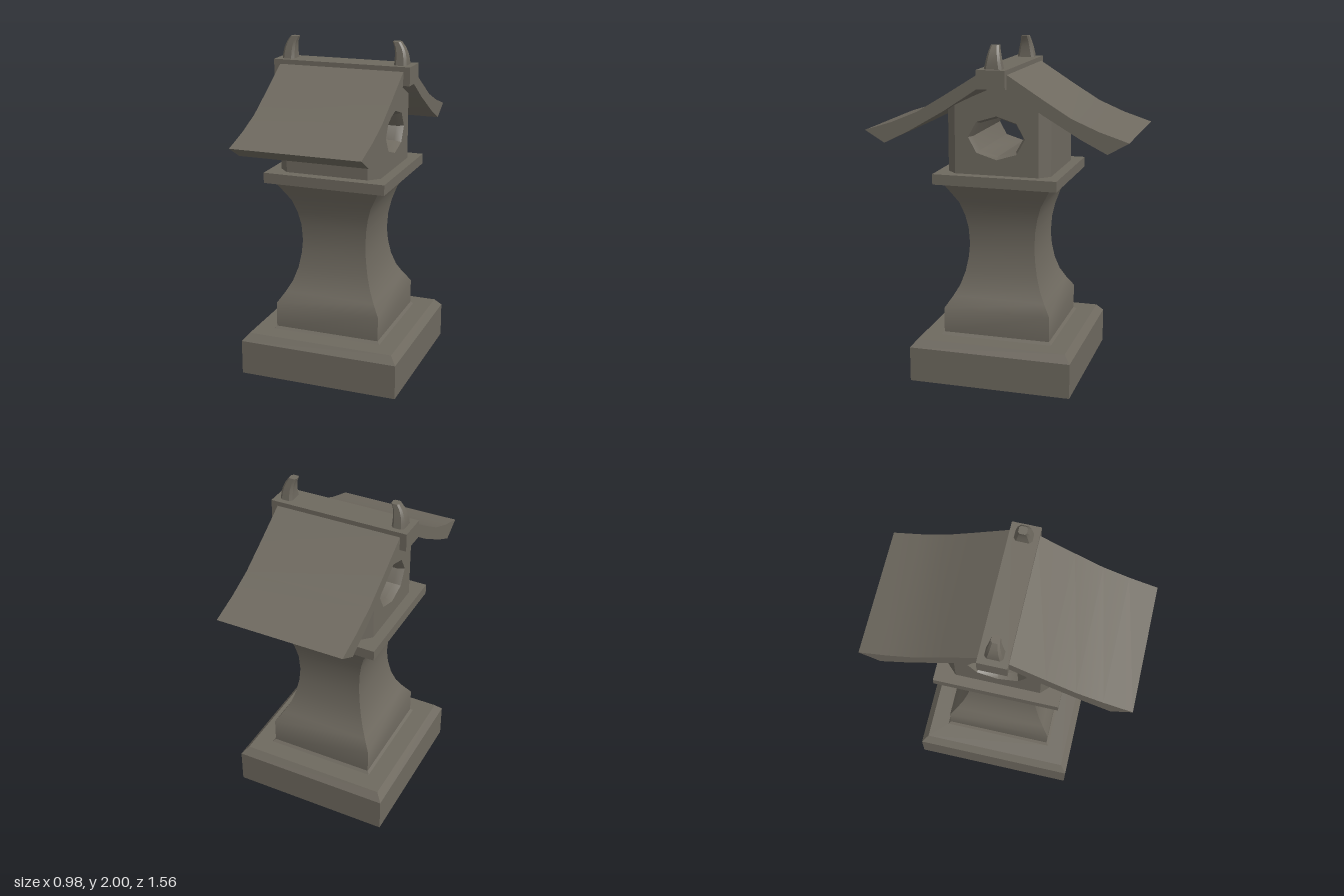
import * as THREE from 'three';
import { toCreasedNormals } from 'three/addons/utils/BufferGeometryUtils.js';

const stone = new THREE.MeshStandardMaterial({ color: 0x6e695f, side: THREE.DoubleSide });
stone.name = 'weathered stone';

// Skin a stack of rings of [x, y, z] points, counter-clockwise seen from above
function loft(rings, closed = true, cap = false) {
  const n = rings[0].length;
  const index = [];
  for (let r = 0; r < rings.length - 1; r++) {
    for (let i = 0; i < (closed ? n : n - 1); i++) {
      const a = r * n + i, b = r * n + (i + 1) % n;
      index.push(a, b, b + n, a, b + n, a + n);
    }
  }
  if (cap) {
    const top = (rings.length - 1) * n;
    for (let i = 1; i < n - 1; i++) index.push(top, top + i, top + i + 1);
  }
  const geometry = new THREE.BufferGeometry();
  geometry.setAttribute('position', new THREE.Float32BufferAttribute(rings.flat(2), 3));
  geometry.setIndex(index);
  return toCreasedNormals(geometry, 0.65);
}

const squareRing = ([r, y]) => [[-r, y, r], [r, y, r], [r, y, -r], [-r, y, -r]];

// Rectangle with cut corners, centred on cx
function chamferRing(cx, y, hx, hz, c) {
  return [[-hx + c, hz], [hx - c, hz], [hx, hz - c], [hx, -hz + c],
    [hx - c, -hz], [-hx + c, -hz], [-hx, -hz + c], [-hx, hz - c]]
    .map(([x, z]) => [cx + x, y, z]);
}

// Eight-sided opening, as [z, y] points
function openingPoints(w, h) {
  return Array.from({ length: 8 }, (_, i) => {
    const a = i * Math.PI / 4;
    return new THREE.Vector2(Math.cos(a) * w, 1.468 + Math.sin(a) * h);
  });
}

export function createModel() {
  const model = new THREE.Group();
  const add = (name, geometry, parent = model) => {
    const mesh = new THREE.Mesh(geometry, stone);
    mesh.name = name;
    parent.add(mesh);
    return mesh;
  };
  const addBox = (name, w, h, d, y) =>
    add(name, new THREE.BoxGeometry(w, h, d).translate(0, y, 0));

  // Hollow plinth, open underneath
  add('plinth', loft([[0.488, 0], [0.488, 0.21], [0.45, 0.255], [0.34, 0.255], [0.325, 0.27]].map(squareRing)));

  // Waisted square pillar
  add('pillar', loft([
    [0.325, 0.27], [0.325, 0.42], [0.283, 0.485], [0.248, 0.55], [0.222, 0.63], [0.206, 0.72],
    [0.2, 0.8], [0.206, 0.9], [0.222, 0.98], [0.248, 1.06], [0.283, 1.12], [0.325, 1.19],
  ].map(squareRing)));
  addBox('pillarSlab', 0.742, 0.062, 0.742, 1.219);

  // Lantern house: front and back walls with cut corners
  const house = new THREE.Group();
  house.name = 'lanternHouse';
  model.add(house);
  const wallPath = [[-0.31, 0.25], [-0.25, 0.31], [0.25, 0.31], [0.31, 0.25]];
  const wall = loft([
    wallPath.map(([x, z]) => [x, 1.25, z]),
    wallPath.map(([x, z]) => [x, z > 0.3 ? 1.62 : 1.65, z]),
  ], false);
  add('frontWall', wall, house);
  add('backWall', wall, house).rotation.y = Math.PI;

  // Gable walls with an eight-sided opening
  const half = [[0.25, 1.25], [0.25, 1.65], [0.15, 1.7], [0.05, 1.745]];
  const gable = new THREE.Shape([
    ...half, [0, 1.755], ...half.map(([z, y]) => [-z, y]).reverse(),
  ].map(([z, y]) => new THREE.Vector2(z, y)));
  gable.holes.push(new THREE.Path(openingPoints(0.17, 0.127).reverse()));
  const gableGeometry = new THREE.ShapeGeometry(gable).translate(0, 0, 0.31);
  for (const s of [1, -1]) {
    add(s > 0 ? 'leftGable' : 'rightGable', gableGeometry, house).rotation.y = s * Math.PI / 2;
  }

  // Tunnel joining the two openings
  const tunnelRings = [[-0.31, 0.17, 0.127], [-0.27, 0.152, 0.112], [0.27, 0.152, 0.112], [0.31, 0.17, 0.127]]
    .map(([x, w, h]) => openingPoints(w, h).map((p) => [x, p.y, p.x]));
  add('openingTunnel', loft(tunnelRings), house);

  // Two sweeping roof slopes, profile as [z, y]
  const slope = new THREE.Shape([
    [0.07, 1.85], [0.285, 1.715], [0.455, 1.612], [0.61, 1.547], [0.78, 1.492],
    [0.66, 1.422], [0.51, 1.497], [0.285, 1.628], [0.07, 1.772],
  ].map(([z, y]) => new THREE.Vector2(z, y)));
  const slopeGeometry = toCreasedNormals(
    new THREE.ExtrudeGeometry(slope, { depth: 0.762, bevelEnabled: false })
      .rotateY(-Math.PI / 2).translate(0.381, 0, 0), 0.4);
  add('frontRoofSlope', slopeGeometry);
  add('backRoofSlope', slopeGeometry).rotation.y = Math.PI;

  // Ridge beam with a pair of inward-curling horns
  addBox('ridgeBeam', 0.84, 0.108, 0.168, 1.815);
  const horn = loft([
    [0.347, 1.865, 0.038, 0.053], [0.347, 1.9, 0.036, 0.046], [0.343, 1.935, 0.033, 0.039],
    [0.334, 1.968, 0.028, 0.031], [0.316, 2, 0.024, 0.024],
  ].map(([x, y, hx, hz]) => chamferRing(x, y, hx, hz, hx * 0.4)), true, true);
  add('leftHorn', horn);
  add('rightHorn', horn).rotation.y = Math.PI;

  return model;
}
